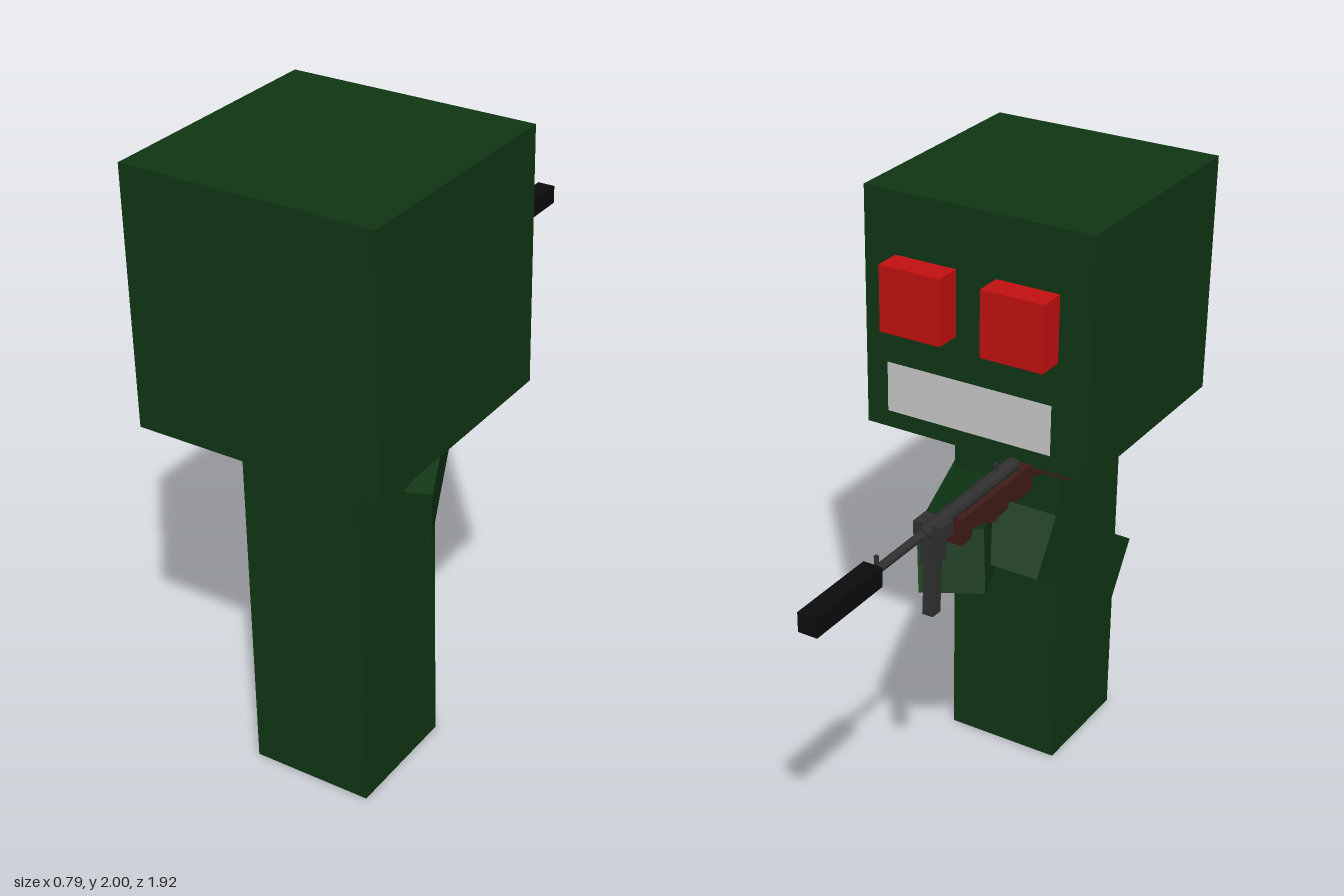
import * as THREE from 'three';

const mat = (color, extra = {}) => new THREE.MeshStandardMaterial({ color, ...extra });
const green = mat(0x103614), red = mat(0xc41010), black = mat(0x0c0c0d);
const steel = mat(0x303030, { flatShading: true }), wood = mat(0x401c16);
const grey = mat(0xcccccc, { side: THREE.DoubleSide });

export function createModel() {
  const model = new THREE.Group();
  model.name = 'blockFigure';

  const add = (parent, name, geometry, material, x, y, z) => {
    const mesh = new THREE.Mesh(geometry, material);
    mesh.name = name;
    mesh.position.set(x, y, z);
    parent.add(mesh);
    return mesh;
  };
  const box = (parent, name, material, w, h, d, x, y, z) =>
    add(parent, name, new THREE.BoxGeometry(w, h, d), material, x, y, z);

  // Body and head
  box(model, 'body', green, 0.395, 1.21, 0.395, 0, 0.605, 0.567);
  box(model, 'head', green, 0.79, 0.79, 0.79, 0, 1.605, 0.563);

  // Face, on the -z side
  for (const s of [-1, 1]) {
    box(model, s > 0 ? 'leftEye' : 'rightEye', red, 0.215, 0.218, 0.1, s * 0.177, 1.688, 0.127);
  }
  add(model, 'mouth', new THREE.PlaneGeometry(0.58, 0.167), grey, 0, 1.375, 0.125).rotation.y = Math.PI;

  // Arms: a box aimed along a direction, rolled to match an up vector
  const arm = (name, length, center, dir, up) => {
    const back = new THREE.Vector3(...dir).normalize().negate();
    const side = new THREE.Vector3(...up).cross(back).normalize();
    const top = back.clone().cross(side);
    const mesh = box(model, name, green, 0.2, 0.2, length, ...center);
    mesh.quaternion.setFromRotationMatrix(new THREE.Matrix4().makeBasis(side, top, back));
  };
  arm('leftArm', 0.838, [0.006, 0.965, 0.155], [-0.39, 0.224, -0.893], [0.15, 0.966, 0.2]);
  arm('rightArm', 0.596, [-0.265, 0.906, 0.2345], [0, 0.545, -0.839], [0, 0.839, 0.545]);

  // Gun, pointing to -z
  const gun = new THREE.Group();
  gun.name = 'gun';
  gun.position.x = -0.175;
  model.add(gun);

  const rod = (name, radius, z0, z1, y) => {
    const g = new THREE.CylinderGeometry(radius, radius, Math.abs(z1 - z0), 12).rotateX(Math.PI / 2);
    add(gun, name, g, steel, 0, y, (z0 + z1) / 2);
  };
  rod('receiver', 0.023, 0.105, -0.405, 1.243);
  rod('barrel', 0.014, -0.4, -0.66, 1.243);
  box(gun, 'silencer', black, 0.062, 0.062, 0.31, 0, 1.24, -0.805);
  box(gun, 'rearSight', steel, 0.01, 0.03, 0.01, 0, 1.275, 0.005);
  box(gun, 'frontSight', steel, 0.01, 0.04, 0.01, 0, 1.27, -0.633);

  // Magazine and its collar
  box(gun, 'magazineCollar', steel, 0.095, 0.045, 0.065, 0, 1.24, -0.343);
  box(gun, 'magazineWell', steel, 0.05, 0.13, 0.065, 0, 1.195, -0.343);
  box(gun, 'magazine', steel, 0.036, 0.18, 0.042, 0, 1.047, -0.35).rotation.x = 0.06;

  // Wooden furniture, trigger guard and thin shoulder stock
  box(gun, 'handguard', wood, 0.058, 0.088, 0.41, 0, 1.175, -0.03);
  box(gun, 'triggerGuard', steel, 0.02, 0.04, 0.07, 0, 1.115, 0.025);
  for (const s of [-1, 1]) {
    box(gun, 'stockStrut', wood, 0.014, 0.018, 0.22, s * 0.022, 1.158, 0.27).rotation.x = 0.26;
  }
  box(gun, 'buttPlate', wood, 0.11, 0.11, 0.018, 0, 1.135, 0.374);

  return model;
}
